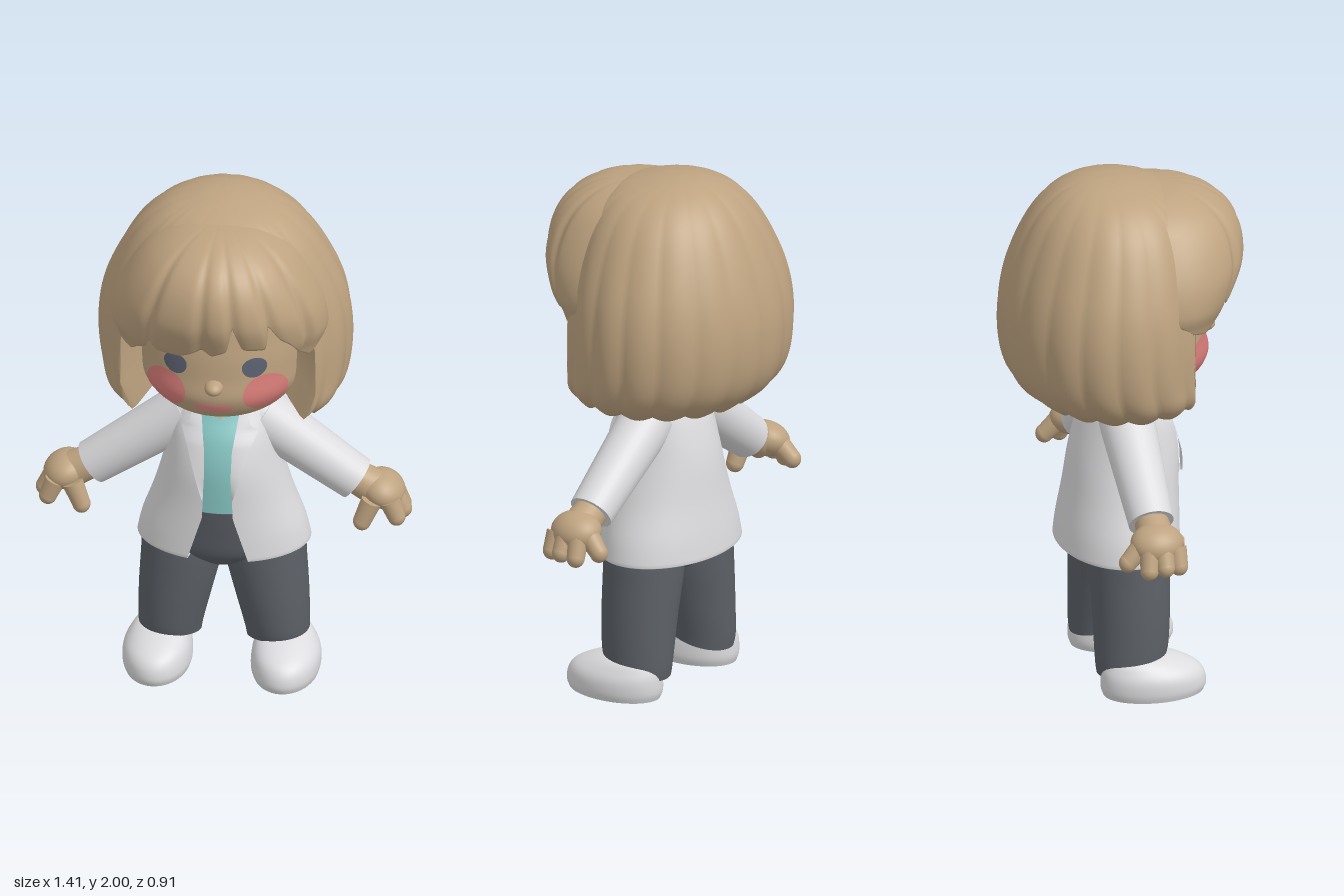
import * as THREE from 'three';

const { lerp, clamp, smoothstep } = THREE.MathUtils;
const mat = (name, color, side = THREE.FrontSide) => new THREE.MeshStandardMaterial({ name, color, side });

// Smooth interpolation through rows of numbers; s runs from 0 to rows.length - 1
function sample(rows, s) {
  const i = clamp(Math.floor(s), 0, rows.length - 2), f = s - i;
  const at = k => rows[clamp(k, 0, rows.length - 1)];
  return rows[0].map((_, c) => {
    const [a, b, d, e] = [at(i - 1)[c], at(i)[c], at(i + 1)[c], at(i + 2)[c]];
    return 0.5 * (2 * b + (d - a) * f + (2 * a - 5 * b + 4 * d - e) * f * f + (3 * b - a - 3 * d + e) * f ** 3);
  });
}

// Row position for a given first value, and straight lookup in a table of pairs
function paramOf(rows, y) {
  let i = 0;
  while (i < rows.length - 2 && y > rows[i + 1][0]) i++;
  return i + clamp((y - rows[i][0]) / (rows[i + 1][0] - rows[i][0]), 0, 1);
}
function lookup(table, x) {
  const s = paramOf(table, x), i = Math.min(Math.floor(s), table.length - 2);
  return lerp(table[i][1], table[i + 1][1], s - i);
}

// Grid surface from f(u, v); the outside is du x dv
function grid(f, nu, nv, closed = true) {
  const pos = [], idx = [], w = closed ? nu : nu + 1;
  for (let j = 0; j <= nv; j++) for (let i = 0; i < w; i++) pos.push(...f(i / nu, j / nv));
  for (let j = 0; j < nv; j++) for (let i = 0; i < nu; i++) {
    const a = j * w + i, b = j * w + (i + 1) % w;
    idx.push(a, b, b + w, a, b + w, a + w);
  }
  const g = new THREE.BufferGeometry();
  g.setAttribute('position', new THREE.Float32BufferAttribute(pos, 3));
  g.setIndex(idx);
  g.computeVertexNormals();
  return g;
}

// Point on an elliptic section [y, cx, cz, rx, rz]; angle 0 faces front
const ringPoint = ([y, cx, cz, rx, rz], a, k = 1) =>
  [cx + rx * k * Math.sin(a), y, cz + rz * k * Math.cos(a)];

// Closed loft through sections, with flat sharp-edged caps
function loft(rows, nu = 48, nv = 32, bend = p => p) {
  const total = nv + 4;
  return grid((u, v) => {
    const j = Math.round(v * total);
    const s = clamp((j - 2) / nv, 0, 1) * (rows.length - 1);
    return bend(ringPoint(sample(rows, s), u * Math.PI * 2, j === 0 || j === total ? 0 : 1));
  }, nu, total);
}

// Front z of a lofted body at x, y
function frontZ(rows, x, y) {
  const [, cx, cz, rx, rz] = sample(rows, paramOf(rows, y));
  return cz + rz * Math.sqrt(Math.max(0, 1 - ((x - cx) / rx) ** 2));
}

const HEAD = [[1.165, 0, .05, .03, .03], [1.175, 0, .06, .13, .14], [1.21, 0, .05, .23, .225], [1.29, 0, .03, .3, .29],
  [1.38, 0, .02, .32, .295], [1.5, 0, .02, .32, .285], [1.65, 0, .01, .3, .26], [1.8, 0, 0, .15, .15]];
const HAIR = [[1.12, 0, 0, .34, .29], [1.2, 0, -.02, .43, .37], [1.3, 0, -.05, .465, .39], [1.45, 0, -.06, .473, .395],
  [1.6, 0, -.055, .45, .38], [1.75, 0, -.04, .39, .345], [1.87, 0, -.03, .315, .29], [1.95, 0, -.03, .22, .21],
  [1.99, 0, -.05, .1, .1], [2, 0, -.06, 0, 0]];
const FRINGE = [[1.46, 0, .12, .37, .24], [1.5, 0, .12, .385, .255], [1.57, 0, .12, .405, .295], [1.68, 0, .12, .385, .338],
  [1.8, 0, .12, .325, .325], [1.89, 0, .11, .25, .27], [1.95, 0, .1, .14, .16], [1.97, 0, .08, 0, 0]];
const FRINGE_EDGE = [[-1, 1.54], [-.85, 1.49], [-.65, 1.47], [-.47, 1.52], [-.43, 1.56], [-.35, 1.53], [-.2, 1.525],
  [-.06, 1.57], [0, 1.545], [.09, 1.57], [.145, 1.69], [.19, 1.58], [.33, 1.57], [.39, 1.68], [.44, 1.61],
  [.6, 1.51], [.75, 1.47], [.9, 1.49], [1, 1.54]];
const JACKET = [[.53, 0, -.015, .325, .23], [.62, 0, -.01, .305, .225], [.75, 0, 0, .26, .215], [.9, 0, .01, .22, .205],
  [1.02, 0, .01, .2, .175], [1.1, 0, 0, .185, .135], [1.16, 0, -.005, .15, .105], [1.19, 0, -.01, .11, .09]];
const OPENING = [[.53, .115], [.72, .058], [.9, .05], [1, .052], [1.15, .075], [1.2, .085]];
const LAPEL = [[.8, .055], [1, .115], [1.07, .145], [1.08, .115], [1.17, .1]];

// Shell of hair from a lower edge up to the crown, with the edge turned inwards
function hairShell(rows, angle, edge, scale, nu, closed) {
  const top = rows.length - 1;
  return grid((u, v) => {
    const a = angle(u), s0 = paramOf(rows, edge(a));
    const t = clamp(v / .12, 0, 1), s = lerp(s0, top, clamp((v - .12) / .88, 0, 1));
    const p = ringPoint(sample(rows, s), a, lerp(.7, 1, t) * scale(a, s / top));
    p[1] += .12 * (1 - t);
    return p;
  }, nu, 48, closed);
}

// Thin oval painted on the face; low flattens its upper half
const facePatch = (x, y, rx, ry, upper = 1) => grid((u, v) => {
  const a = u * Math.PI * 2, r = 1 - v, sy = Math.sin(a);
  const px = x + rx * r * Math.cos(a), py = y + ry * r * sy * (sy > 0 ? upper : 1);
  return [px, py, frontZ(HEAD, px, py) + .008];
}, 36, 8);

export function createModel() {
  const root = new THREE.Group();
  const body = new THREE.Group();
  body.name = 'figure';
  body.position.x = .015;
  root.add(body);

  const tan = mat('tan skin and hair', 0xbea380, THREE.DoubleSide);
  const white = mat('white cloth', 0xdcdcde, THREE.DoubleSide);
  const teal = mat('teal shirt', 0x86c5c2);
  const grey = mat('grey trousers', 0x5c6167);
  const blush = mat('blush', 0xdc7f7b);
  const iris = mat('eye', 0x5c6272);
  const lips = mat('mouth', 0xe08f85, THREE.DoubleSide);
  const add = (name, geometry, material) => {
    const m = new THREE.Mesh(geometry, material);
    m.name = name;
    body.add(m);
    return m;
  };
  // Tapered round piece between two points
  const limb = (name, a, b, ra, rb, material) => {
    const p = new THREE.Vector3(...a), d = new THREE.Vector3(...b).sub(p);
    const m = add(name, new THREE.CylinderGeometry(rb, ra, d.length(), 32, 4), material);
    m.position.copy(p).addScaledVector(d, .5);
    m.quaternion.setFromUnitVectors(new THREE.Vector3(0, 1, 0), d.normalize());
    return m;
  };
  const ball = (name, [x, y, z], [rx, ry, rz], material) => {
    const m = add(name, new THREE.SphereGeometry(1, 28, 18), material);
    m.position.set(x, y, z);
    m.scale.set(rx, ry, rz);
    return m;
  };

  // Head and face
  add('head', loft(HEAD, 64, 48), tan);
  ball('nose', [0, 1.36, .32], [.035, .028, .045], tan);
  add('mouth', facePatch(0, 1.275, .075, .034, .5), lips);
  limb('neck', [0, 1.05, -.01], [0, 1.22, 0], .085, .085, tan);

  // Bobbed hair, open around the face
  const fold = a => Math.abs(a > Math.PI ? a - Math.PI * 2 : a);
  const lobe = a => Math.abs(Math.sin(9 * a));
  add('hair', hairShell(HAIR, u => u * Math.PI * 2,
    a => lerp(lerp(1.19, 1.155, fold(a) / Math.PI), 1.64, 1 - smoothstep(fold(a), .82, .95)) - .022 * lobe(a),
    (a, h) => 1 + .035 * (lobe(a) - .8) * (1 - .9 * h) - .015 * Math.exp(-(((fold(a) - Math.PI) / .06) ** 2)) * h,
    180, true), tan);

  // Fringe with locks divided by grooves
  const half = Math.PI / 2;
  add('fringe', hairShell(FRINGE, u => (u * 2 - 1) * half, a => lookup(FRINGE_EDGE, a / half),
    (a, h) => 1 - (1 - .6 * h) * [-.43, -.06, .145, .39, .68].reduce(
      (sum, g) => sum + .06 * Math.exp(-(((a / half - g) / .045) ** 2)), 0),
    150, false), tan);

  // Shirt and open neck
  const shirt = JACKET.slice(2).map(([y, x, z, rx, rz]) => [y, x, z, rx * .92, rz * .92]);
  shirt[0][0] = .725;
  shirt.push([1.215, 0, -.015, .1, .088]);
  add('shirt', loft(shirt), teal);
  add('neckOpening', grid((u, v) => {
    const y = lerp(1.1, 1.2, v), x = (u * 2 - 1) * .055 * v;
    return [x, y, frontZ(shirt, x, y) + .008];
  }, 8, 8, false), tan);

  // Open jacket with a turned hem
  add('jacket', grid((u, v) => {
    const t = clamp(v / .06, 0, 1), s = clamp((v - .06) / .94, 0, 1) * (JACKET.length - 1);
    const row = sample(JACKET, s), a0 = Math.asin(lookup(OPENING, row[0]) / row[3]);
    const p = ringPoint(row, lerp(a0, Math.PI * 2 - a0, u), lerp(.9, 1, t));
    p[1] += .015 * (1 - t);
    return p;
  }, 72, 40, false), white);

  // Trouser hips
  add('hips', loft([[.46, 0, 0, .1, .11], [.52, 0, 0, .25, .155], [.62, 0, 0, .26, .178], [.735, 0, 0, .235, .2]]), grey);

  for (const side of [1, -1]) {
    const name = part => (side > 0 ? 'left' : 'right') + part;
    const at = (x, y, z) => [x * side, y, z];

    add(name('Eye'), facePatch(.148 * side, 1.44, .045, .044, .85), iris);
    add(name('Cheek'), facePatch(.186 * side, 1.32, .078, .08), blush);

    add(name('Lapel'), grid((u, v) => {
      const y = lerp(.8, 1.17, v), x = lerp(lookup(OPENING, y), lookup(LAPEL, y), u);
      return [x * side, y, frontZ(JACKET, x, y) + .004 + .01 * u];
    }, 6, 40, false), white);

    // Sleeve
    ball(name('Shoulder'), at(.13, 1.065, -.01), [.105, .1, .1], white);
    limb(name('Sleeve'), at(.13, 1.065, -.01), at(.495, .8, -.01), .105, .085, white);

    // Hand with curled fingers
    limb(name('Wrist'), at(.46, .825, -.01), at(.57, .765, -.01), .06, .07, tan);
    ball(name('Palm'), at(.595, .762, -.015), [.085, .068, .1], tan).rotation.z = -.4 * side;
    const digits = [[.56, .75, .06, .525, .665, .07], [.625, .75, .05, .652, .685, .055], [.635, .75, 0, .67, .69, 0],
      [.63, .75, -.05, .66, .68, -.06], [.6, .75, -.08, .61, .7, -.13]];
    digits.forEach(([x, y, z, x2, y2, z2], i) => {
      limb(name('Finger' + (i + 1)), at(x, y, z), at(x2, y2, z2), .04, .034, tan);
      ball(name('Fingertip' + (i + 1)), at(x2, y2, z2), [.034, .036, .034], tan);
    });

    // Trouser leg, its hem lower at the heel
    const leg = [[.11, .2, -.01, .115, .13], [.16, .198, -.008, .122, .138], [.3, .18, -.005, .138, .145],
      [.45, .158, -.005, .152, .15], [.55, .148, -.005, .155, .15], [.62, .14, 0, .14, .15]];
    add(name('Leg'), loft(leg.map(r => [r[0], r[1] * side, ...r.slice(2)]), 48, 28,
      ([x, y, z]) => [x, y + .25 * z * clamp(1 - (y - .11) / .2, 0, 1), z]), grey);

    // Rounded shoe
    const shoe = [[0, .24, .065, .122, .19], [.03, .24, .065, .13, .2], [.075, .24, .06, .128, .195],
      [.11, .235, .045, .116, .175], [.145, .225, .01, .092, .125], [.165, .215, -.01, .04, .06]];
    add(name('Shoe'), loft(shoe.map(r => [r[0], r[1] * side, ...r.slice(2)]), 48, 24), white);
  }
  return root;
}
